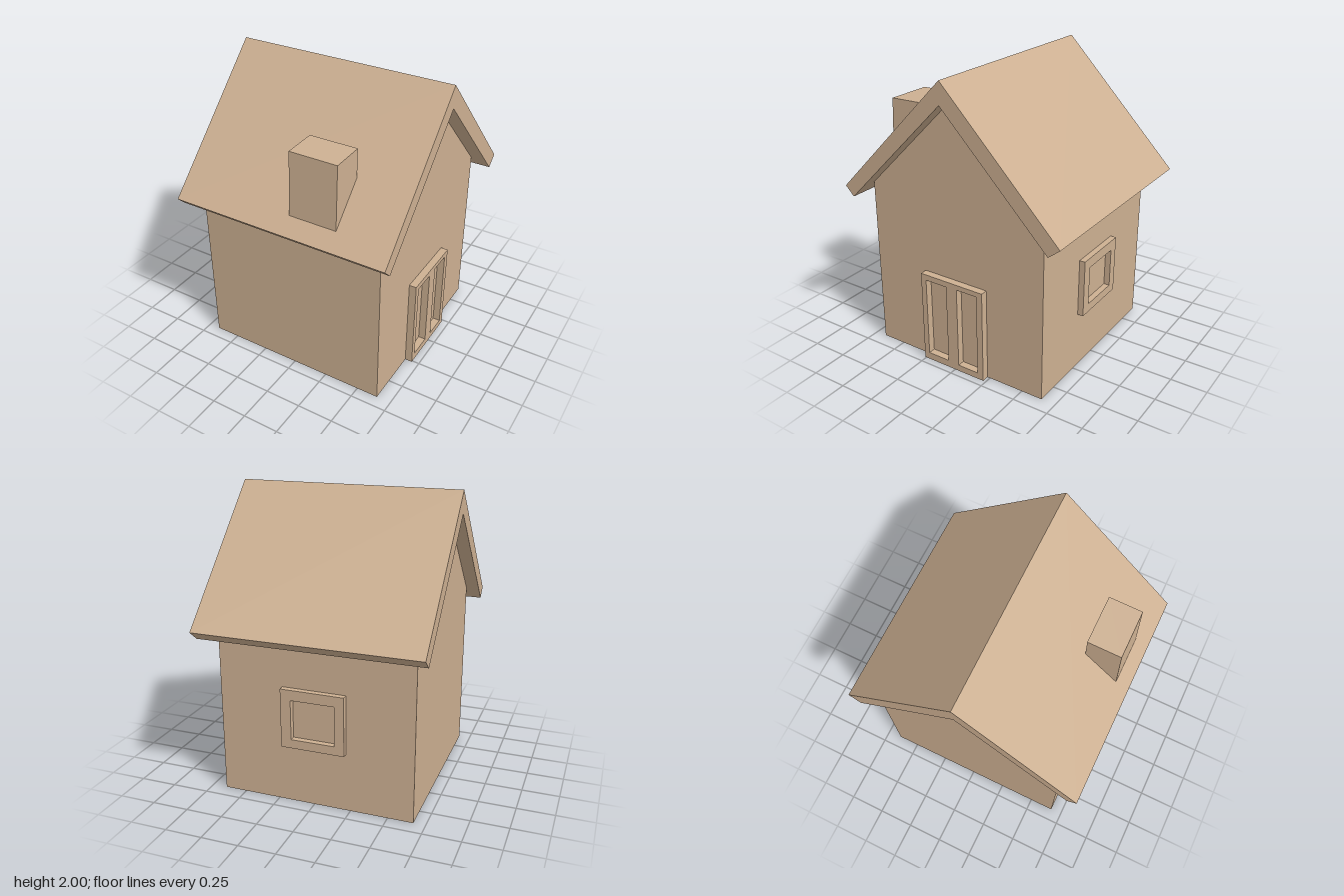
import * as THREE from 'three';

const tan = new THREE.MeshStandardMaterial({ color: 0xcdb092 });
tan.name = 'tan';

const points = (list) => list.map(([a, b]) => new THREE.Vector2(a, b));
const rect = (a0, b0, a1, b1) => points([[a0, b0], [a1, b0], [a1, b1], [a0, b1]]);

function extrude(outline, depth, holes = []) {
  const shape = new THREE.Shape(outline);
  holes.forEach((h) => shape.holes.push(new THREE.Path(h)));
  return new THREE.ExtrudeGeometry(shape, { depth, bevelEnabled: false });
}

// Extrudes a (z, y) outline along x, from x0 to x1
function alongX(outline, x0, x1, holes) {
  return extrude(outline, x1 - x0, holes).rotateY(-Math.PI / 2).translate(x1, 0, 0);
}

export function createModel() {
  const house = new THREE.Group();
  house.name = 'house';
  const add = (name, geometry) => {
    const mesh = new THREE.Mesh(geometry, tan);
    mesh.name = name;
    house.add(mesh);
  };

  // Walls with gable ends
  add('walls', alongX(points([
    [-0.65, 0], [0.67, 0], [0.67, 1.2], [0.01, 1.86], [-0.65, 1.19],
  ]), -0.67, 0.65));

  // Pitched roof slab with slightly uneven eaves
  add('roof', alongX(points([
    [0.005, 2], [-0.82, 1.15], [-0.74, 1.085], [0.01, 1.85], [0.76, 1.105], [0.825, 1.17],
  ]), -0.76, 0.757));

  // Leaning chimney, sunk into the front slope
  add('chimney', alongX(points([
    [0.495, 1.4], [0.735, 1.2], [0.71, 1.695], [0.485, 1.7],
  ]), 0.05, 0.38));

  // Door frame with two tall openings
  add('doorFrame', alongX(rect(-0.23, 0, 0.26, 0.655), 0.65, 0.7, [
    rect(0.055, 0.05, 0.22, 0.615),
    rect(-0.185, 0.045, -0.03, 0.62),
  ]));

  // Window frame on the back wall
  add('windowFrame', extrude(rect(-0.22, 0.4, 0.21, 0.8), 0.04, [
    rect(-0.155, 0.46, 0.14, 0.73),
  ]).translate(0, 0, -0.69));

  return house;
}
